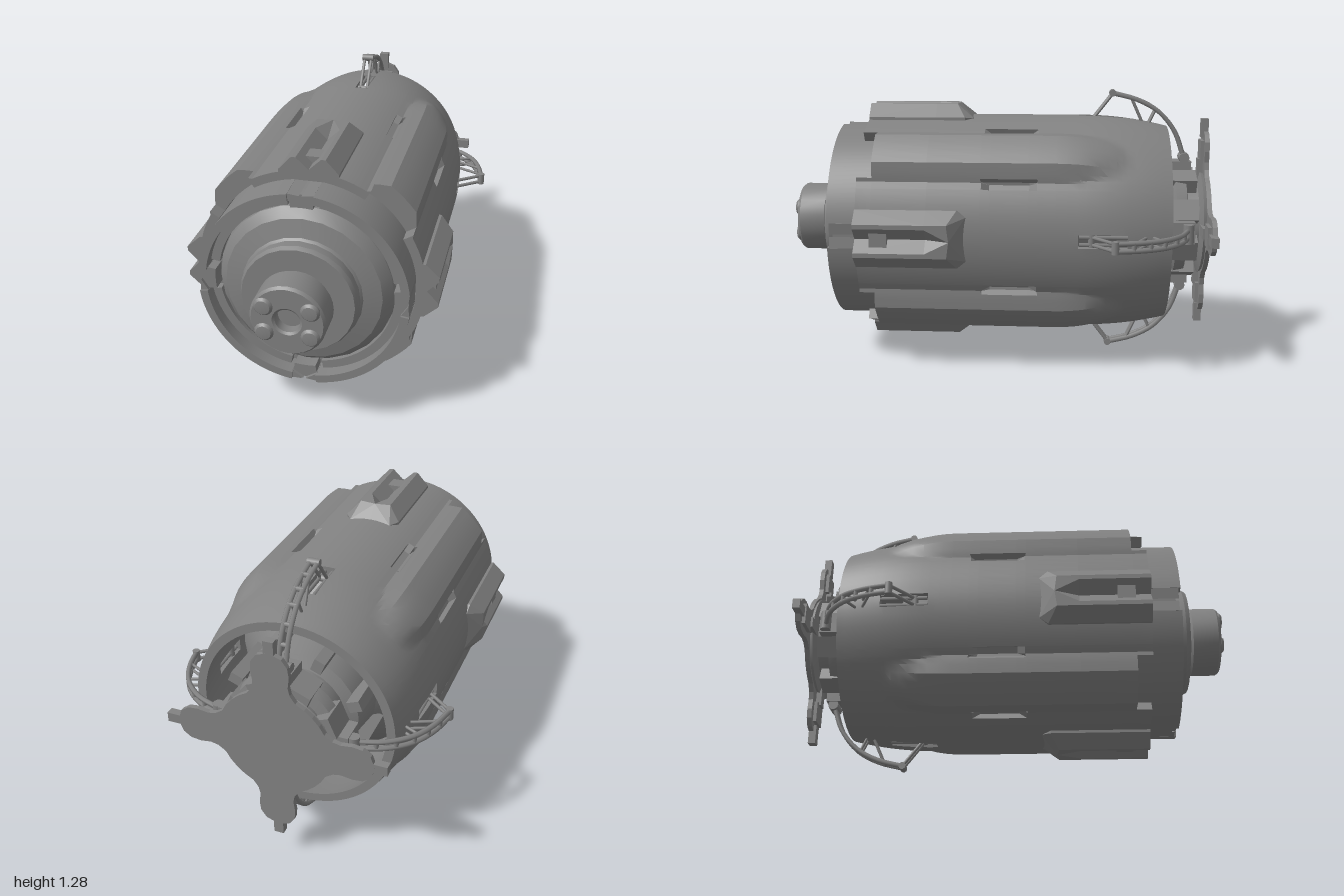
import * as THREE from 'three';
import { toCreasedNormals } from 'three/addons/utils/BufferGeometryUtils.js';
import { ConvexGeometry } from 'three/addons/geometries/ConvexGeometry.js';

const RAD = Math.PI / 180;
const mat = new THREE.MeshStandardMaterial({ color: 0x828282 });
const V = (x, y, z) => new THREE.Vector3(x, y, z);
const clamp = THREE.MathUtils.clamp;

function add(parent, name, geo, x = 0, y = 0, z = 0) {
  const m = new THREE.Mesh(geo, mat);
  m.name = name;
  m.position.set(x, y, z);
  parent.add(m);
  return m;
}

// repeats a part around the z axis; inside, +y points outward
function around(parent, name, n, start, build) {
  for (let k = 0; k < n; k++) {
    const g = new THREE.Group();
    g.name = name;
    g.rotation.z = start + (k * 2 * Math.PI) / n;
    build(g);
    parent.add(g);
  }
}

// turned part along z from [radius, z] pairs, z increasing
function turned(profile, sides) {
  const g = new THREE.LatheGeometry(profile.map(p => new THREE.Vector2(p[0], p[1])), sides);
  return toCreasedNormals(g.rotateX(Math.PI / 2), 0.4);
}

function bar(parent, name, a, b, r, sides = 6) {
  const g = new THREE.CylinderGeometry(r, r, a.distanceTo(b), sides);
  const m = add(parent, name, g);
  m.position.copy(a).add(b).multiplyScalar(0.5);
  m.quaternion.setFromUnitVectors(V(0, 1, 0), b.clone().sub(a).normalize());
}

function sector(r0, r1, a0, a1, depth) {
  const s = new THREE.Shape();
  s.absarc(0, 0, r1, a0, a1, false);
  s.absarc(0, 0, r0, a1, a0, true);
  return toCreasedNormals(new THREE.ExtrudeGeometry(s, { depth, bevelEnabled: false, curveSegments: 14 }), 0.5);
}

// shell radius: barrel taper, four diagonal bulges and eight shallow pockets
function shellRadius(deg, z) {
  const t = clamp((-0.4 - z) / 0.4, 0, 1);
  let r = 0.515 - 0.05 * t * t;
  const d = Math.abs((deg % 90) - 45);
  const nose = clamp((-0.28 - z) / 0.32, 0, 1);
  const width = 16 * Math.sqrt(1 - nose * nose);
  if (width > 0.01) r += 0.049 * (1 - nose * nose) * clamp((1 - d / width) / 0.5, 0, 1);
  const lower = (19.6 - d) / 5;
  if (d > 14.6 && d < 19.7 && z < 0.06 - 0.04 * (1 - lower) && z > -0.2 + 0.04 * (1 - lower)) r -= 0.028;
  return r;
}

// thick shell made from grid cells, with walls wherever a cell is left out
function shellGeometry() {
  const half = [0, 3.4, 8, 13, 18, 22, 25.2, 25.5, 29, 30.2, 30.6, 33, 37, 41, 45];
  const quarter = [...half, ...half.slice(1, -1).reverse().map(a => 90 - a)];
  const A = [0, 90, 180, 270].flatMap(q => quarter.map(a => a + q));
  const Z = [-0.8, -0.76, -0.72, -0.68, -0.64, -0.6, -0.58, -0.55, -0.51, -0.47, -0.42, -0.38, -0.33, -0.28,
    -0.2, -0.195, -0.16, -0.155, 0.015, 0.02, 0.055, 0.06, 0.3, 0.55, 0.62];
  const n = A.length, pos = [];
  const P = (i, j, inner) => {
    const deg = A[(i + n) % n], z = Z[j], a = deg * RAD;
    const r = inner ? 0.475 - 0.05 * clamp((-0.4 - z) / 0.4, 0, 1) ** 2 : shellRadius(deg, z);
    return [r * Math.cos(a), r * Math.sin(a), z];
  };
  const quad = (a, b, c, d) => pos.push(...a, ...b, ...c, ...a, ...c, ...d);
  const kept = (i, j) => {
    if (j < 0 || j >= Z.length - 1) return false;
    const k = (i + n) % n, m = (A[k] + (k === n - 1 ? 360 : A[k + 1])) / 2 % 90, c = Math.min(m, 90 - m);
    const z = (Z[j] + Z[j + 1]) / 2;
    return !(c < 3.4 && z > -0.6 && z < -0.38) && !(c > 30.6 && z > 0.55);
  };
  for (let i = 0; i < n; i++) for (let j = 0; j < Z.length - 1; j++) {
    if (!kept(i, j)) continue;
    const o = [P(i, j), P(i + 1, j), P(i + 1, j + 1), P(i, j + 1)];
    const q = [P(i, j, 1), P(i + 1, j, 1), P(i + 1, j + 1, 1), P(i, j + 1, 1)];
    quad(...o);
    quad(q[3], q[2], q[1], q[0]);
    [[i, j - 1], [i + 1, j], [i, j + 1], [i - 1, j]].forEach((c, e) => {
      const f = (e + 1) % 4;
      if (!kept(c[0], c[1])) quad(o[e], q[e], q[f], o[f]);
    });
  }
  const g = new THREE.BufferGeometry();
  g.setAttribute('position', new THREE.Float32BufferAttribute(pos, 3));
  return toCreasedNormals(g, 0.4);
}

export function createModel() {
  const root = new THREE.Group();
  root.name = 'engineModule';
  const body = new THREE.Group();
  body.name = 'body';
  body.position.y = 0.64;
  root.add(body);

  add(body, 'outerShell', shellGeometry());

  // front dome, disc and nose cylinder
  add(body, 'frontDome', turned([[0.47, 0.54], [0.44, 0.66], [0.395, 0.66], [0.39, 0.69], [0.35, 0.735],
    [0.27, 0.755], [0.26, 0.765], [0.26, 0.805], [0.25, 0.825], [0.15, 0.825]], 24));
  add(body, 'noseCylinder', turned([[0.15, 0.82], [0.15, 0.84], [0.165, 0.85], [0.165, 0.97], [0.155, 0.983],
    [0.065, 0.983], [0.055, 0.975], [0.055, 0.93], [0, 0.93]], 28));
  for (const x of [-0.1, 0.1]) for (const y of [-0.062, 0.062])
    add(body, 'noseKnob', turned([[0.042, 0.97], [0.042, 0.985], [0.032, 0.996], [0, 1]], 16), x, y);

  // front collar in four arcs with grooved joints between them
  around(body, 'collar', 4, 0, g => {
    add(g, 'collarArc', sector(0.435, 0.472, 7 * RAD, 83 * RAD, 0.26), 0, 0, 0.5);
    add(g, 'collarInnerStep', sector(0.395, 0.44, 10 * RAD, 80 * RAD, 0.1), 0, 0, 0.6);
    add(g, 'collarJoint', sector(0.4, 0.462, 83 * RAD, 97 * RAD, 0.235), 0, 0, 0.5);
    for (const s of [-1, 1])
      add(g, 'collarWedge', new ConvexGeometry([0.6, 0.75].flatMap(z =>
        [V(s * 0.057, 0.468, z), V(s * 0.057, 0.43, z), V(s * 0.006, 0.462, z)])));
  });

  // raised blocks with a pointed V-shaped channel
  around(body, 'sideBlock', 4, 0, g => {
    for (const s of [-1, 1]) {
      const rail = [0.62, 0.3].flatMap(z => [V(0, 0.47, z), V(0, 0.52, z), V(s * 0.055, 0.572, z),
        V(s * 0.075, 0.572, z), V(s * 0.132, 0.51, z), V(s * 0.132, 0.47, z)]);
      const ramp = [V(0, 0.47, 0.3), V(0, 0.52, 0.3), V(s * 0.055, 0.572, 0.3), V(0, 0.572, 0.19),
        V(s * 0.075, 0.572, 0.3), V(s * 0.075, 0.572, 0.2), V(s * 0.132, 0.51, 0.3), V(s * 0.132, 0.47, 0.3),
        V(s * 0.132, 0.51, 0.16), V(s * 0.132, 0.47, 0.16), V(s * 0.1, 0.505, 0.12), V(0, 0.505, 0.12), V(0, 0.47, 0.12)];
      add(g, 'blockRail', new ConvexGeometry(rail));
      add(g, 'blockRamp', new ConvexGeometry(ramp));
    }
    add(g, 'channelBridge', new THREE.BoxGeometry(0.08, 0.05, 0.08), 0, 0.525, 0.51);
  });

  // rear engine core
  add(body, 'engineCore', turned([[0, -0.985], [0.24, -0.985], [0.25, -0.965], [0.2, -0.95], [0.2, -0.9], [0.25, -0.89],
    [0.26, -0.84], [0.22, -0.82], [0.22, -0.74], [0.27, -0.72], [0.29, -0.56], [0.47, -0.34]], 24));
  around(body, 'coreDetail', 8, 22.5 * RAD, g => {
    add(g, 'coreBlock', new THREE.BoxGeometry(0.1, 0.07, 0.14), 0, 0.225, -0.87);
    add(g, 'coreDuct', new THREE.BoxGeometry(0.05, 0.06, 0.26), 0, 0.3, -0.66);
  });

  // rear disc with four rounded blades
  const blade = [[0.18, -0.18], [0.209, -0.146], [0.231, -0.108], [0.265, -0.085], [0.3, -0.078], [0.35, -0.085],
    [0.395, -0.08], [0.43, -0.055]];
  const outline = [];
  for (let k = 0; k < 4; k++) {
    const pts = [...blade, [0.45, 0], ...blade.slice(1).reverse().map(p => [p[0], -p[1]])];
    for (const p of pts) outline.push(new THREE.Vector2(...p).rotateAround(new THREE.Vector2(), k * Math.PI / 2));
  }
  add(body, 'crossPlate', new THREE.ExtrudeGeometry(new THREE.Shape(outline), { depth: 0.022, bevelEnabled: false }), 0, 0, -1);
  around(body, 'bladeFittings', 4, 0, g => {
    add(g, 'bladeTab', new THREE.BoxGeometry(0.045, 0.09, 0.035), 0, 0.457, -0.982);
    add(g, 'bladePad', new THREE.BoxGeometry(0.1, 0.1, 0.018), 0, 0.35, -0.971);
    add(g, 'bladeRib', new THREE.BoxGeometry(0.05, 0.12, 0.03), 0, 0.25, -0.967);
  });

  // hinged arms with double rails, rungs and struts
  around(body, 'arm', 4, 0, g => {
    const path = new THREE.CatmullRomCurve3([V(0, 0.622, -0.54), V(0, 0.59, -0.66), V(0, 0.535, -0.76),
      V(0, 0.44, -0.84), V(0, 0.32, -0.885)]);
    for (const x of [-0.017, 0.017]) {
      add(g, 'armRail', new THREE.TubeGeometry(path, 16, 0.012, 6), x);
      bar(g, 'longStrut', V(x, 0.62, -0.54), V(x, 0.49, -0.44), 0.008);
      bar(g, 'middleStrut', V(x, 0.6, -0.63), V(x, 0.49, -0.68), 0.007);
      bar(g, 'rearStrut', V(x, 0.545, -0.745), V(x, 0.47, -0.71), 0.007);
      bar(g, 'slotRail', V(x, 0.495, -0.385), V(x, 0.49, -0.6), 0.009);
    }
    for (let i = 0; i <= 6; i++) {
      const p = path.getPoint(i / 6);
      bar(g, 'armRung', V(-0.02, p.y, p.z), V(0.02, p.y, p.z), 0.011);
    }
    bar(g, 'armTip', V(-0.028, 0.622, -0.54), V(0.028, 0.622, -0.54), 0.017, 10);
    bar(g, 'strutFoot', V(-0.028, 0.49, -0.44), V(0.028, 0.49, -0.44), 0.015, 8);
    bar(g, 'armHinge', V(-0.045, 0.315, -0.887), V(0.045, 0.315, -0.887), 0.025, 10);
    add(g, 'hingeMount', new THREE.BoxGeometry(0.1, 0.09, 0.12), 0, 0.255, -0.86);
  });
  return root;
}
